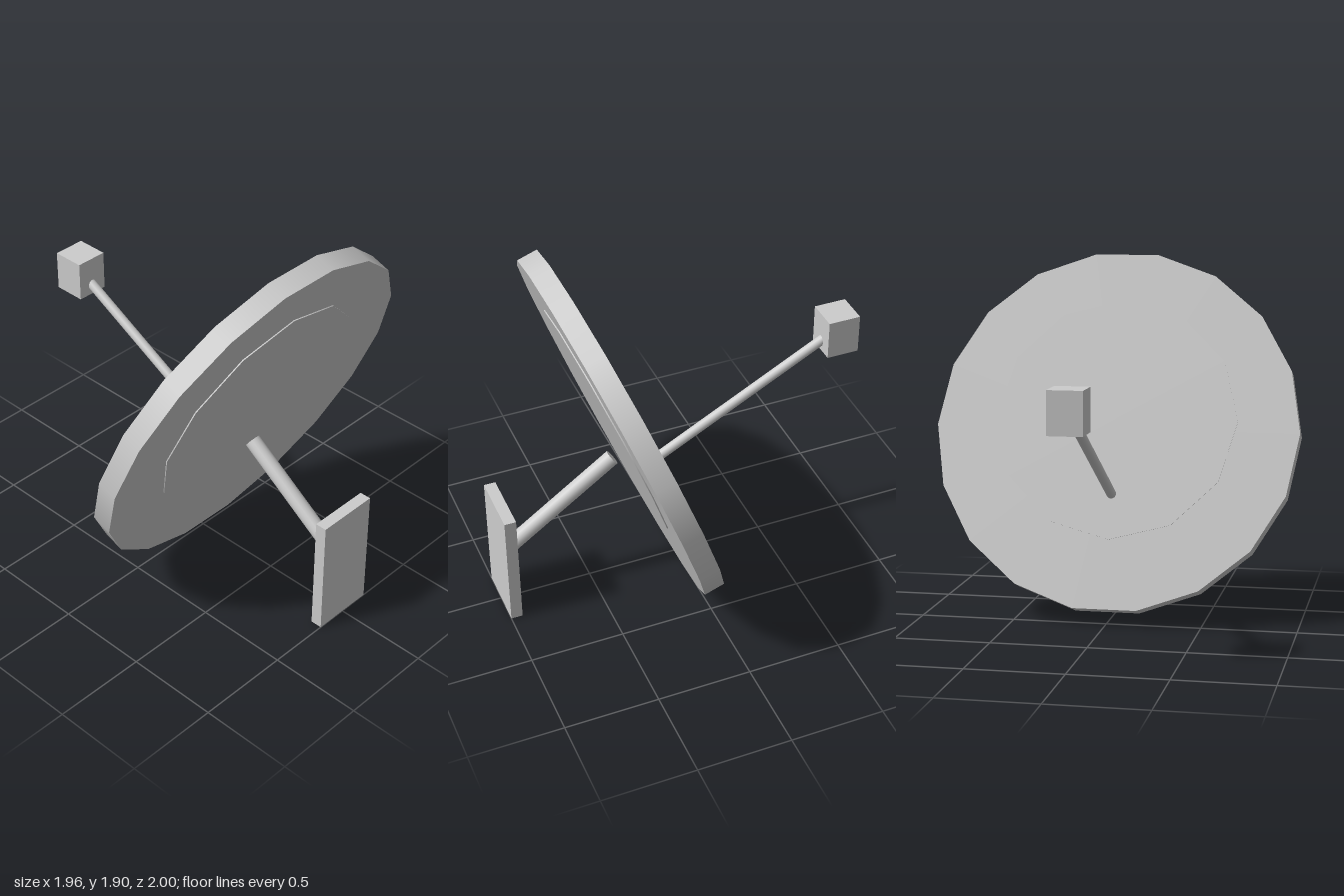
import * as THREE from 'three';

export function createModel() {
  const root = new THREE.Group();
  root.name = 'satelliteDish';
  const grey = new THREE.MeshStandardMaterial({ color: 0xcccccc });
  grey.name = 'light grey';

  const add = (parent, name, geometry, x = 0, y = 0, z = 0) => {
    const mesh = new THREE.Mesh(geometry, grey);
    mesh.name = name;
    mesh.position.set(x, y, z);
    parent.add(mesh);
    return mesh;
  };

  // Round rod between two points in the middle plane, given as [y, z]
  const rod = (name, radius, a, b) => {
    const from = new THREE.Vector3(0, ...a);
    const to = new THREE.Vector3(0, ...b);
    const dir = to.clone().sub(from);
    const mesh = add(root, name, new THREE.CylinderGeometry(radius, radius, dir.length(), 18));
    mesh.position.copy(from).add(to).multiplyScalar(0.5);
    mesh.quaternion.setFromUnitVectors(new THREE.Vector3(0, 1, 0), dir.normalize());
  };

  // Tilted dish: an 18-sided disc with a slightly thicker 12-sided core
  const dish = new THREE.Group();
  dish.name = 'dish';
  dish.position.set(0, 0.98, 0.308);
  dish.rotation.x = THREE.MathUtils.degToRad(-70);
  root.add(dish);
  add(dish, 'dishRim', new THREE.CylinderGeometry(0.978, 0.978, 0.112, 18, 1, false, Math.PI / 18));
  add(dish, 'dishCore', new THREE.CylinderGeometry(0.65, 0.65, 0.122, 12), 0, -0.001, 0.055);

  // Receiver on its arm
  rod('receiverArm', 0.026, [0.65, 0.17], [1.206, -0.86]);
  add(root, 'receiver', new THREE.BoxGeometry(0.175, 0.215, 0.175), 0, 1.24, -0.9125);

  // Wall mount
  rod('mountArm', 0.042, [0.324, 0.97], [0.765, 0.352]);
  add(root, 'wallPlate', new THREE.BoxGeometry(0.34, 0.652, 0.062), 0, 0.326, 0.969);

  return root;
}
